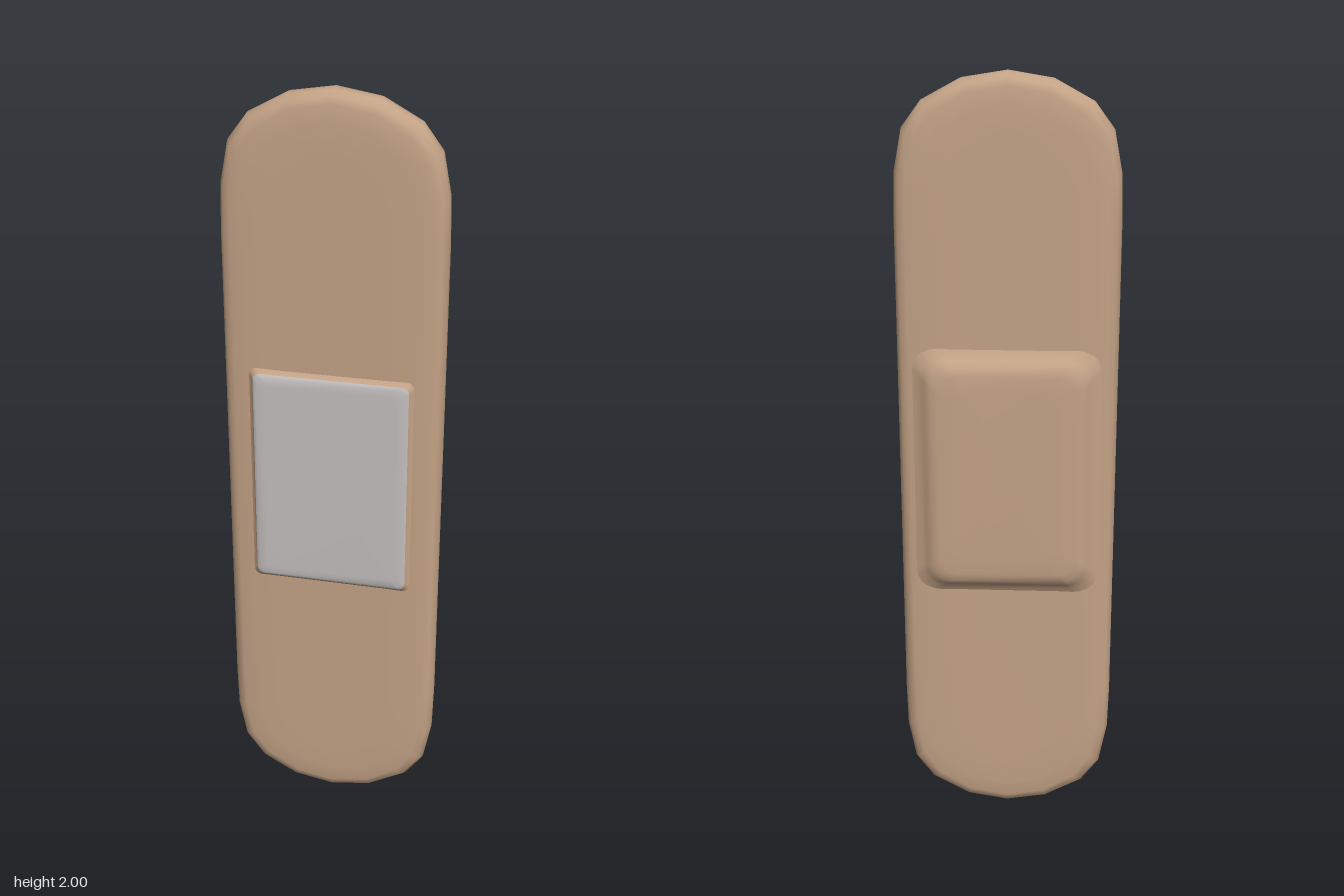
import * as THREE from 'three';

// Rounded rectangle outline, counter-clockwise, centred on the origin
function roundedOutline(hw, hh, r) {
  const pts = [];
  [[1, 1], [-1, 1], [-1, -1], [1, -1]].forEach(([sx, sy], q) => {
    for (let i = 0; i <= 5; i++) {
      const a = (q + i / 5) * Math.PI / 2;
      pts.push([sx * (hw - r) + r * Math.cos(a), sy * (hh - r) + r * Math.sin(a)]);
    }
  });
  return pts;
}

// Loft an outline through [inset, z] rings listed from back to front
function loft(outline, rings, capBack = true, capFront = true) {
  const hw = Math.max(...outline.map(p => p[0]));
  const hh = Math.max(...outline.map(p => p[1]));
  const n = outline.length, pos = [], idx = [];
  for (const [inset, z] of rings)
    for (const [x, y] of outline) pos.push(x * (hw - inset) / hw, y * (hh - inset) / hh, z);
  for (let k = 0; k < rings.length - 1; k++)
    for (let i = 0; i < n; i++) {
      const a = k * n + i, b = k * n + (i + 1) % n;
      idx.push(a, b, b + n, a, b + n, a + n);
    }
  const cap = (k, front) => {
    const c = pos.length / 3;
    pos.push(0, 0, rings[k][1]);
    for (let i = 0; i < n; i++) {
      const a = k * n + i, b = k * n + (i + 1) % n;
      idx.push(c, front ? a : b, front ? b : a);
    }
  };
  if (capBack) cap(0, false);
  if (capFront) cap(rings.length - 1, true);
  const g = new THREE.BufferGeometry();
  g.setAttribute('position', new THREE.Float32BufferAttribute(pos, 3));
  g.setIndex(idx);
  g.computeVertexNormals();
  return g;
}

export function createModel() {
  const group = new THREE.Group();
  const tan = new THREE.MeshStandardMaterial({ color: 0xc4a386 });
  tan.name = 'tan fabric';
  const grey = new THREE.MeshStandardMaterial({ color: 0xc3bfbe });
  grey.name = 'pale gauze';
  const add = (name, geometry, material) => {
    const mesh = new THREE.Mesh(geometry, material);
    mesh.name = name;
    mesh.position.y = 1;
    group.add(mesh);
  };

  // Long strip with bowed ends and soft rims
  const right = [[0.276, 0.64], [0.273, 0.76], [0.253, 0.865], [0.205, 0.93], [0.11, 0.982]];
  const half = [...right, [0, 1], ...right.map(([x, y]) => [-x, y]).reverse()];
  const outline = [...half, ...half.map(([x, y]) => [-x, -y])];
  add('strip', loft(outline, [
    [0.14, -0.037], [0.07, -0.036], [0.03, -0.032], [0.012, -0.026], [0.002, -0.008], [0, 0.01],
    [0.002, 0.026], [0.012, 0.043], [0.03, 0.049], [0.07, 0.053], [0.14, 0.054],
  ]), tan);

  // Raised swelling on the back
  add('backBump', loft(roundedOutline(0.235, 0.335, 0.06), [
    [0.11, -0.072], [0.065, -0.07], [0.045, -0.066], [0.03, -0.054], [0.018, -0.043], [0, -0.035],
  ], true, false), tan);

  // Gauze pad: sloping rim and pale face
  const padOutline = roundedOutline(0.212, 0.307, 0.02);
  add('padRim', loft(padOutline, [[0, 0.05], [0.01, 0.056], [0.016, 0.064]], false, false), tan);
  add('padFace', loft(padOutline, [[0.016, 0.064], [0.024, 0.069], [0.045, 0.07]], false, true), grey);

  return group;
}
